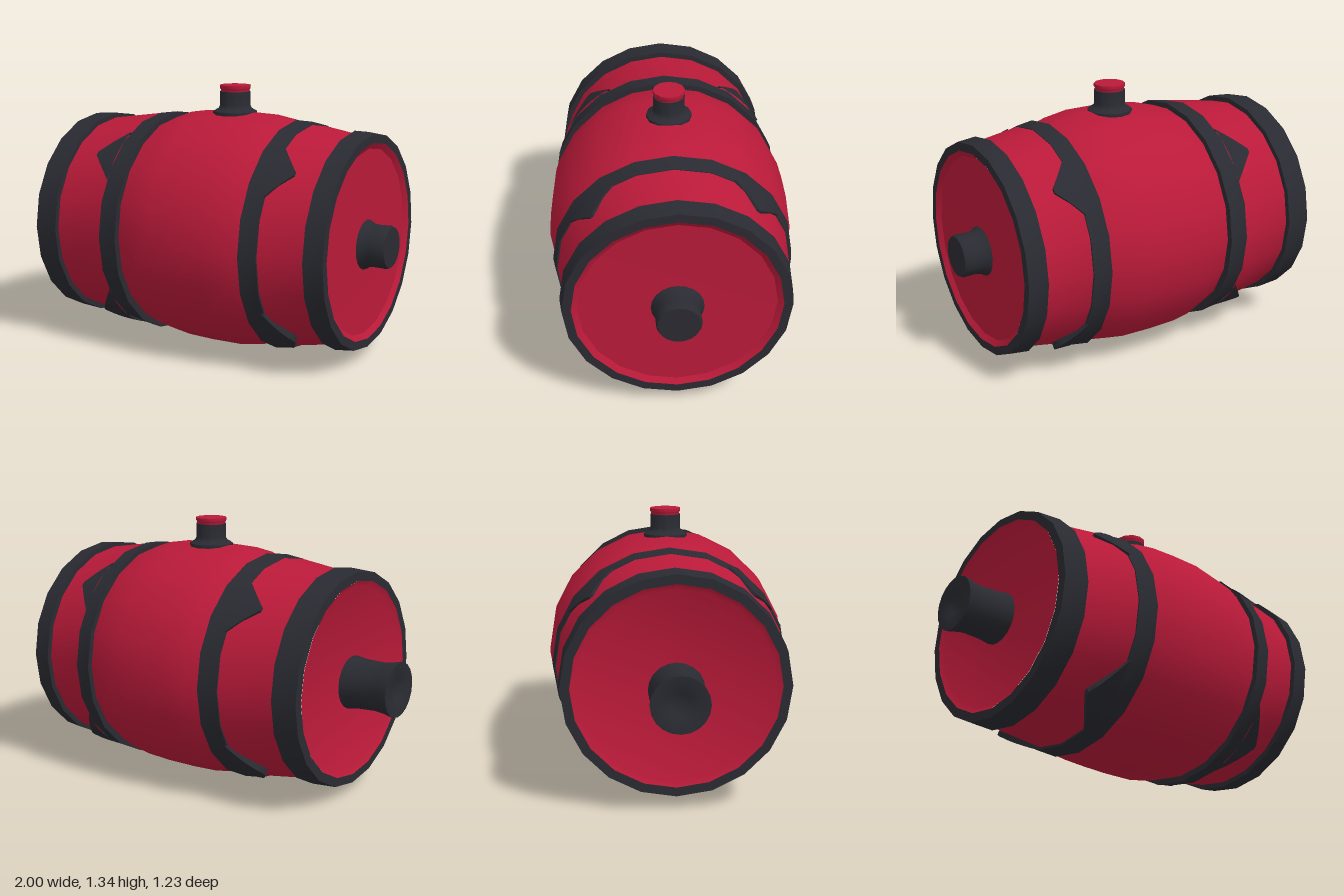
import * as THREE from 'three';
import { toCreasedNormals } from 'three/addons/utils/BufferGeometryUtils.js';

const AXIS_Y = 0.603;
const WIDEN = 1.02; // the barrel is slightly wider than tall

export function createModel() {
  const model = new THREE.Group();
  const red = new THREE.MeshStandardMaterial({ color: 0xba1a39 });
  red.name = 'red paint';
  const iron = new THREE.MeshStandardMaterial({ color: 0x2a2b32, side: THREE.DoubleSide });
  iron.name = 'dark iron';

  // Turned part from [position along axis, radius] pairs; lies along x unless upright
  function turned(name, material, profile, { y = AXIS_Y, x = 0, upright = false, sides = 20 } = {}) {
    const points = profile.map(([a, r]) => new THREE.Vector2(r, a));
    let geometry = new THREE.LatheGeometry(points, sides);
    if (!upright) geometry.rotateZ(-Math.PI / 2).scale(1, 1, WIDEN);
    geometry = toCreasedNormals(geometry, 0.6);
    const mesh = new THREE.Mesh(geometry, material);
    mesh.name = name;
    mesh.position.set(x, y, 0);
    model.add(mesh);
  }

  // Wooden body: bulging middle and two tapering ends
  turned('barrelMiddle', red, [
    [-0.25, 0.545], [-0.22, 0.553], [-0.14, 0.583], [-0.04, 0.598], [0.1, 0.603],
    [0.27, 0.602], [0.4, 0.58], [0.46, 0.559], [0.5, 0.545],
  ]);
  turned('rightTaper', red, [[-0.65, 0.518], [-0.32, 0.566]]);
  turned('leftTaper', red, [[0.55, 0.561], [0.81, 0.518]]);

  // Raised hoops around the body
  turned('rightHoop', iron, [[-0.335, 0.55], [-0.335, 0.57], [-0.23, 0.584], [-0.23, 0.53]], { y: 0.598 });
  turned('leftHoop', iron, [[0.47, 0.53], [0.47, 0.583], [0.56, 0.568], [0.56, 0.545]], { y: 0.598 });

  // Rims, and the red end discs dished into them
  turned('rightRim', iron, [
    [-0.758, 0.492], [-0.758, 0.538], [-0.63, 0.547], [-0.63, 0.5],
  ]);
  turned('leftRim', iron, [
    [0.79, 0.5], [0.79, 0.547], [0.887, 0.536], [0.887, 0.492],
  ]);
  turned('rightEnd', red, [[-0.742, 0], [-0.744, 0.465], [-0.76, 0.493]]);
  turned('leftEnd', red, [[0.888, 0.493], [0.868, 0.465], [0.865, 0]]);

  // Pointed tooth on the outer edge of a hoop, with sides that sink into the wood
  function tooth(edge, tip, angle, spread, edgeRadius, tipRadius) {
    const rows = 6, columns = 10, positions = [], index = [];
    for (let i = 0; i <= rows; i++) {
      const t = Math.min(i / (rows - 1), 1);
      const half = THREE.MathUtils.lerp(spread, 0.02, t);
      for (let j = 0; j <= columns; j++) {
        const u = THREE.MathUtils.clamp((j - 1) / (columns - 2), 0, 1);
        const sunk = i === rows || j === 0 || j === columns;
        const r = THREE.MathUtils.lerp(edgeRadius, tipRadius, t) - (sunk ? 0.035 : 0);
        const a = angle + half * (2 * u - 1);
        positions.push(THREE.MathUtils.lerp(edge, tip, t), AXIS_Y + r * Math.sin(a), r * Math.cos(a) * WIDEN);
        if (i < rows && j < columns) {
          const k = i * (columns + 1) + j, n = k + columns + 1;
          // Outward-facing order depends on which way the tooth points
          if (tip < edge) index.push(k, k + 1, n, k + 1, n + 1, n);
          else index.push(k, n, k + 1, k + 1, n, n + 1);
        }
      }
    }
    const geometry = new THREE.BufferGeometry();
    geometry.setAttribute('position', new THREE.Float32BufferAttribute(positions, 3));
    geometry.setIndex(index);
    const mesh = new THREE.Mesh(toCreasedNormals(geometry, 0.6), iron);
    mesh.name = 'hoopTooth';
    model.add(mesh);
  }
  // Upper teeth hug the wood; lower teeth are wider and stand off it
  for (const mirror of [false, true]) {
    const upper = mirror ? Math.PI - 0.78 : 0.78;
    const lower = mirror ? Math.PI + 0.91 : -0.91;
    tooth(-0.33, -0.465, upper, 0.27, 0.571, 0.553);
    tooth(0.555, 0.665, upper, 0.27, 0.566, 0.549);
    tooth(-0.33, -0.465, lower, 0.38, 0.576, 0.574);
    tooth(0.555, 0.66, lower, 0.38, 0.574, 0.572);
  }

  // Flared spout with a shallow bore, and the short knob on the other end
  turned('spout', iron, [
    [-0.985, 0], [-0.985, 0.05], [-0.997, 0.07], [-1, 0.137], [-0.985, 0.137],
    [-0.94, 0.125], [-0.89, 0.12], [-0.8, 0.124], [-0.73, 0.135],
  ], { y: 0.588 });
  turned('knob', iron, [
    [0.855, 0.13], [0.872, 0.122], [0.89, 0.11], [0.92, 0.105], [0.985, 0.107], [1, 0.1], [1, 0],
  ], { y: 0.59 });

  // Bung on top: collar, neck and red stopper
  turned('bungNeck', iron, [
    [1.17, 0.113], [1.206, 0.113], [1.222, 0.085], [1.235, 0.078], [1.308, 0.078], [1.308, 0],
  ], { y: 0, x: 0.12, upright: true, sides: 12 });
  turned('stopper', red, [
    [1.3, 0.073], [1.316, 0.074], [1.324, 0.079], [1.34, 0.079], [1.341, 0],
  ], { y: 0, x: 0.12, upright: true, sides: 12 });

  return model;
}
